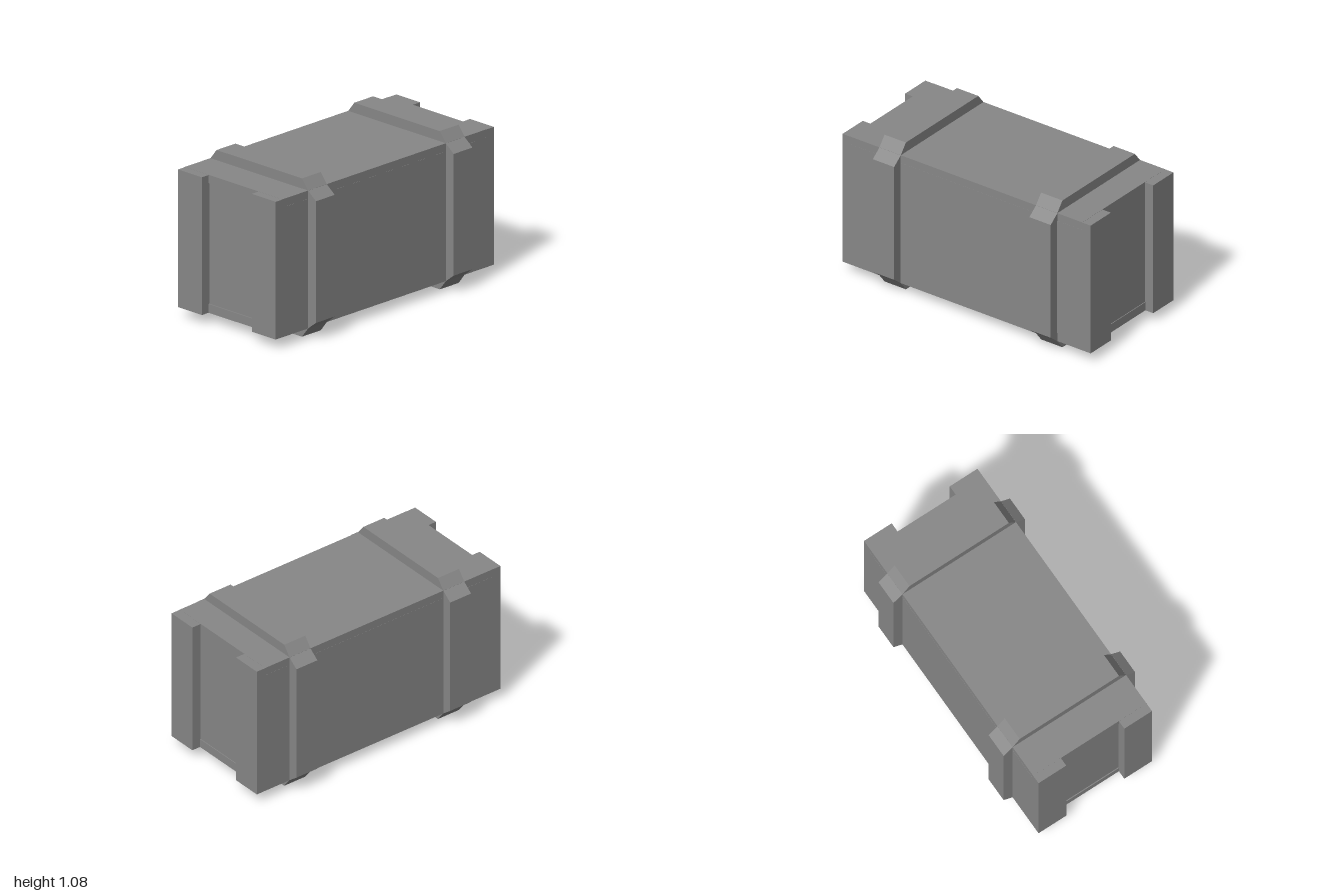
import * as THREE from 'three';

const material = new THREE.MeshStandardMaterial({ color: 0x878787, flatShading: true });

function add(group, name, geometry, x, y, z) {
  const mesh = new THREE.Mesh(geometry, material);
  mesh.name = name;
  mesh.position.set(x, y, z);
  group.add(mesh);
}

// Box given by its lower and upper corners
function addBox(group, name, [x0, y0, z0], [x1, y1, z1]) {
  add(group, name, new THREE.BoxGeometry(x1 - x0, y1 - y0, z1 - z0),
    (x0 + x1) / 2, (y0 + y1) / 2, (z0 + z1) / 2);
}

// Bevelled batten lying along a crate face; the profile is [z, y] from the crate's middle
function battenGeometry(profile, width) {
  const shape = new THREE.Shape(profile.map(([z, y]) => new THREE.Vector2(-z, y)));
  const geometry = new THREE.ExtrudeGeometry(shape, { depth: width, bevelEnabled: false });
  return geometry.translate(0, 0, -width / 2).rotateY(Math.PI / 2);
}

// Band of four battens meeting at the crate's long edges
function createStrap(x) {
  const strap = new THREE.Group();
  strap.name = 'strap';
  strap.position.set(x, 0.54, 0);
  for (const s of [1, -1]) {
    const flat = [[0.44, 0.47], [0.385, 0.54], [-0.385, 0.54], [-0.44, 0.47]];
    const upright = [[0.44, 0.47], [0.51, 0.415], [0.51, -0.415], [0.44, -0.47]];
    add(strap, s > 0 ? 'topBatten' : 'bottomBatten',
      battenGeometry(flat.map(([z, y]) => [z, s * y]), 0.172), 0, 0, 0);
    add(strap, s > 0 ? 'frontBatten' : 'backBatten',
      battenGeometry(upright.map(([z, y]) => [s * z, y]), 0.172), 0, 0, 0);
  }
  return strap;
}

export function createModel() {
  const group = new THREE.Group();
  group.name = 'crate';

  // Side panels, a hair proud of the posts, between the floor and lid slabs
  addBox(group, 'body', [-0.932, 0.13, -0.441], [0.932, 0.955, 0.441]);
  addBox(group, 'floor', [-0.938, 0.07, -0.44], [0.937, 0.13, 0.44]);
  addBox(group, 'lid', [-0.938, 0.955, -0.44], [0.932, 1.011, 0.44]);

  // Upright posts at the four corners of the ends
  for (const sx of [-1, 1]) {
    for (const sz of [-1, 1]) {
      add(group, 'endPost', new THREE.BoxGeometry(0.07, 0.94, 0.215), sx * 0.965, 0.54, sz * 0.3325);
    }
  }

  // Straps
  for (const x of [-0.617, 0.645]) group.add(createStrap(x));

  return group;
}
